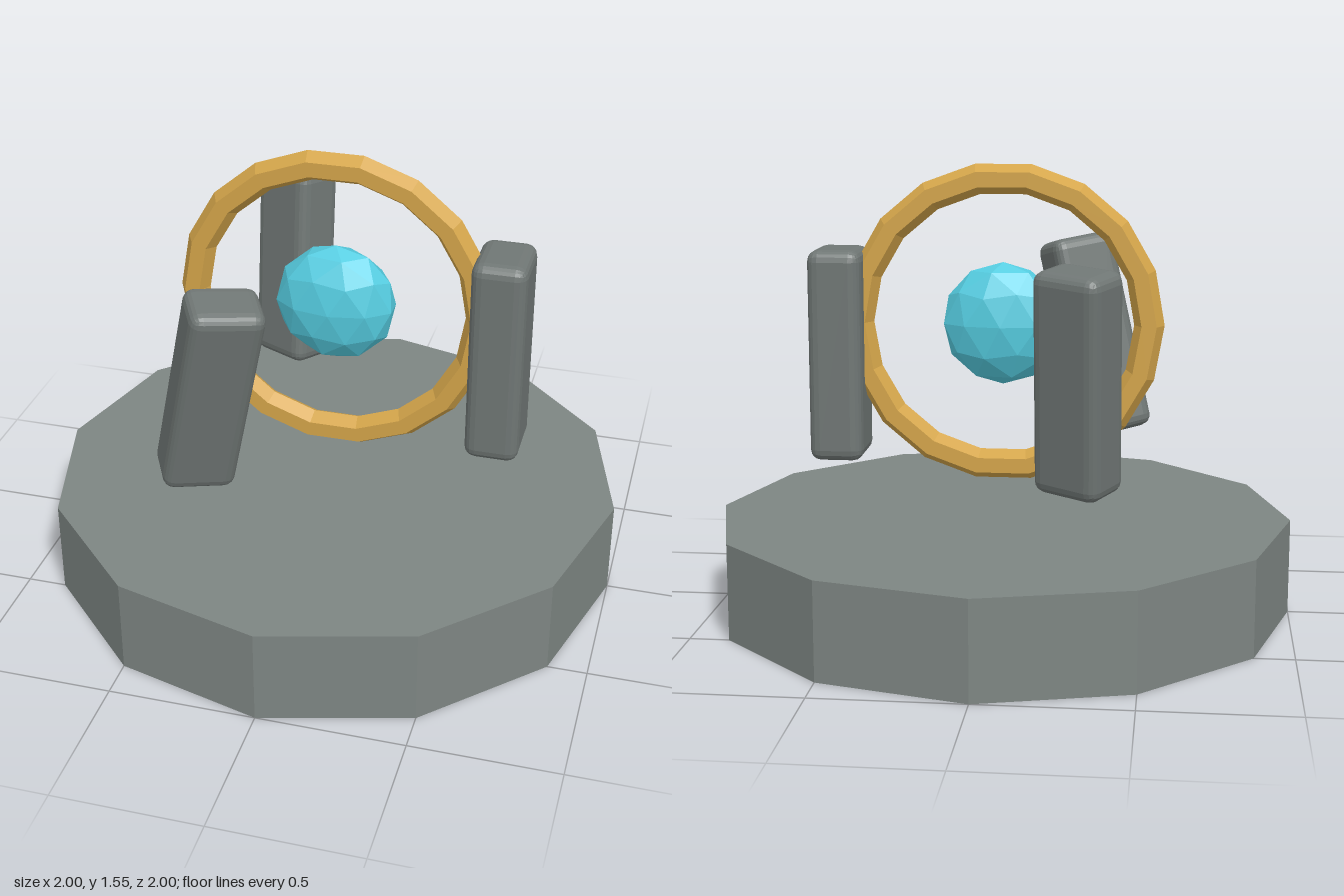
import * as THREE from 'three';
import { RoundedBoxGeometry } from 'three/addons/geometries/RoundedBoxGeometry.js';

const CENTRE_Y = 1.005;

function part(name, geometry, color) {
  const mesh = new THREE.Mesh(
    geometry,
    new THREE.MeshStandardMaterial({ color, flatShading: true })
  );
  mesh.name = name;
  return mesh;
}

export function createModel() {
  const model = new THREE.Group();
  model.name = 'floatingShrine';

  // Twelve-sided stone base
  const base = part('base', new THREE.CylinderGeometry(1, 1, 0.33, 12), 0x7d8582);
  base.position.y = 0.165;
  model.add(base);

  // Upright golden ring with a hexagonal section
  const ring = part('ring', new THREE.TorusGeometry(0.503, 0.052, 6, 18), 0xd4a54a);
  ring.position.y = CENTRE_Y;
  model.add(ring);

  // Faceted crystal, one corner turned to the top, flattened front to back
  const gem = new THREE.IcosahedronGeometry(0.212, 1);
  gem.rotateZ(Math.atan((1 + Math.sqrt(5)) / 2) - Math.PI / 2);
  gem.scale(1, 1, 0.55);
  const crystal = part('crystal', gem, 0x55cce0);
  crystal.position.y = CENTRE_Y;
  model.add(crystal);

  // Three floating stones around the ring: position, turn and lean of the top
  const up = new THREE.Vector3(0, 1, 0);
  const stones = [
    { name: 'leftStone', x: 0.573, z: 0, turn: 0, lean: [0, 0] },
    { name: 'frontStone', x: -0.29, z: 0.5, turn: 120, lean: [0.23, 0.125] },
    { name: 'backStone', x: -0.29, z: -0.503, turn: -120, lean: [0, -0.125] },
  ];
  for (const { name, x, z, turn, lean } of stones) {
    const stone = part(name, new RoundedBoxGeometry(0.187, 0.735, 0.246, 2, 0.04), 0x6f7674);
    const axis = new THREE.Vector3(lean[0], 1, lean[1]).normalize();
    const yaw = new THREE.Quaternion().setFromAxisAngle(up, THREE.MathUtils.degToRad(turn));
    stone.quaternion.setFromUnitVectors(up, axis).multiply(yaw);
    stone.position.set(x, 0.893, z);
    model.add(stone);
  }

  return model;
}
